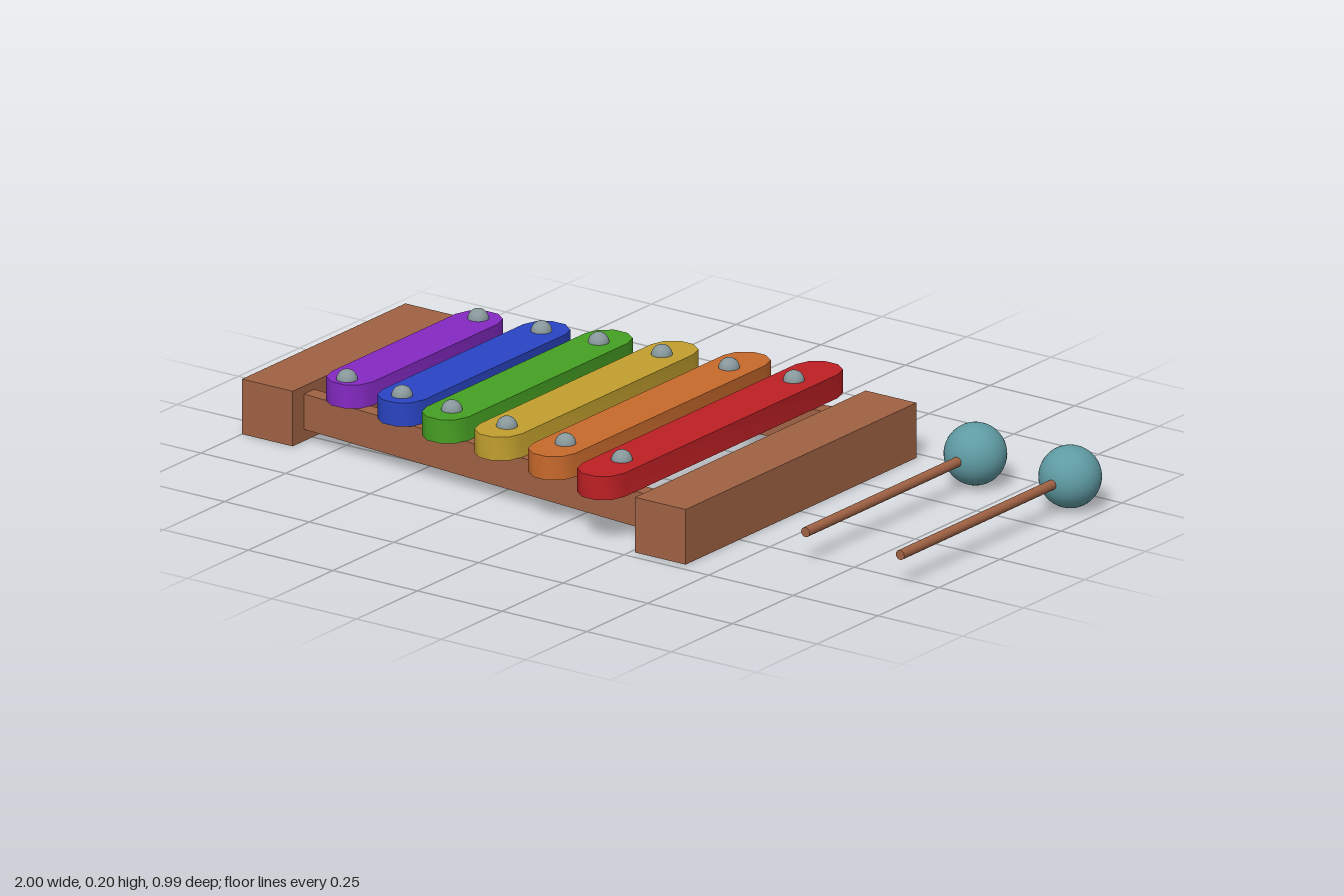
import * as THREE from 'three';
import { toCreasedNormals } from 'three/addons/utils/BufferGeometryUtils.js';

const mat = (name, color) => {
  const m = new THREE.MeshStandardMaterial({ color });
  m.name = name;
  return m;
};

export function createModel() {
  const group = new THREE.Group();
  const wood = mat('wood', 0xa06244);
  const steel = mat('steel', 0x87979a);
  const felt = mat('mallet teal', 0x5f9ba3);

  const add = (name, geometry, material, x, y, z, parent = group) => {
    const mesh = new THREE.Mesh(geometry, material);
    mesh.name = name;
    mesh.position.set(x, y, z);
    parent.add(mesh);
    return mesh;
  };

  // End blocks
  add('rightEndBlock', new THREE.BoxGeometry(0.15, 0.14, 0.67), wood, -0.925, 0.07, -0.003);
  add('leftEndBlock', new THREE.BoxGeometry(0.15, 0.14, 0.946), wood, 0.336, 0.07, -0.002);

  // Slanted rails, tucked slightly into the end blocks
  const rail = (name, z0, z1) => {
    const dx = 1.13, dz = z1 - z0;
    const mesh = add(name, new THREE.BoxGeometry(Math.hypot(dx, dz), 0.09, 0.042), wood,
      -0.295, 0.075, (z0 + z1) / 2);
    mesh.rotation.y = -Math.atan2(dz, dx);
  };
  rail('frontRail', 0.264, 0.374);
  rail('backRail', -0.259, -0.364);

  // Round-ended sound bar with its length along z
  const barGeometry = (halfLength) => {
    const r = 0.0625, steps = 5;
    const straight = halfLength - r * Math.cos(Math.PI / 10);
    const points = [];
    for (const side of [1, -1]) {
      for (let i = 0; i <= steps; i++) {
        const a = (i / steps) * Math.PI;
        points.push(new THREE.Vector2(side * r * Math.cos(a), side * (straight + r * Math.sin(a))));
      }
    }
    const g = new THREE.ExtrudeGeometry(new THREE.Shape(points), { depth: 0.06, bevelEnabled: false });
    g.rotateX(-Math.PI / 2);
    return toCreasedNormals(g, 0.7);
  };

  // Bars from short to long, each held by two round pins
  const bars = [
    ['purple', 0x8429c2, -0.73, 0.315],
    ['blue', 0x2a45c4, -0.555, 0.348],
    ['green', 0x46a023, -0.397, 0.385],
    ['yellow', 0xc2a02e, -0.222, 0.412],
    ['orange', 0xc86a2c, -0.036, 0.45],
    ['red', 0xbe2024, 0.143, 0.497],
  ];
  const pin = new THREE.SphereGeometry(0.026, 20, 14);
  for (const [name, color, x, halfLength] of bars) {
    const bar = new THREE.Group();
    bar.name = name + 'Bar';
    group.add(bar);
    add(name + 'Plate', barGeometry(halfLength), mat(name, color), x, 0.12, -0.001, bar);
    add('frontPin', pin, steel, x, 0.179, 0.276 + (x + 0.73) * 0.097, bar);
    add('backPin', pin, steel, x, 0.179, -0.262 - (x + 0.73) * 0.094, bar);
  }

  // Pair of mallets
  const head = new THREE.SphereGeometry(0.0765, 32, 20);
  const stick = new THREE.CylinderGeometry(0.0125, 0.0125, 0.7, 16).rotateX(Math.PI / 2);
  for (const x of [0.64, 0.92]) {
    const mallet = new THREE.Group();
    mallet.name = 'mallet';
    group.add(mallet);
    add('malletHead', head, felt, x, 0.08, -0.399, mallet);
    add('malletStick', stick, wood, x, 0.08, -0.052, mallet);
  }

  return group;
}
